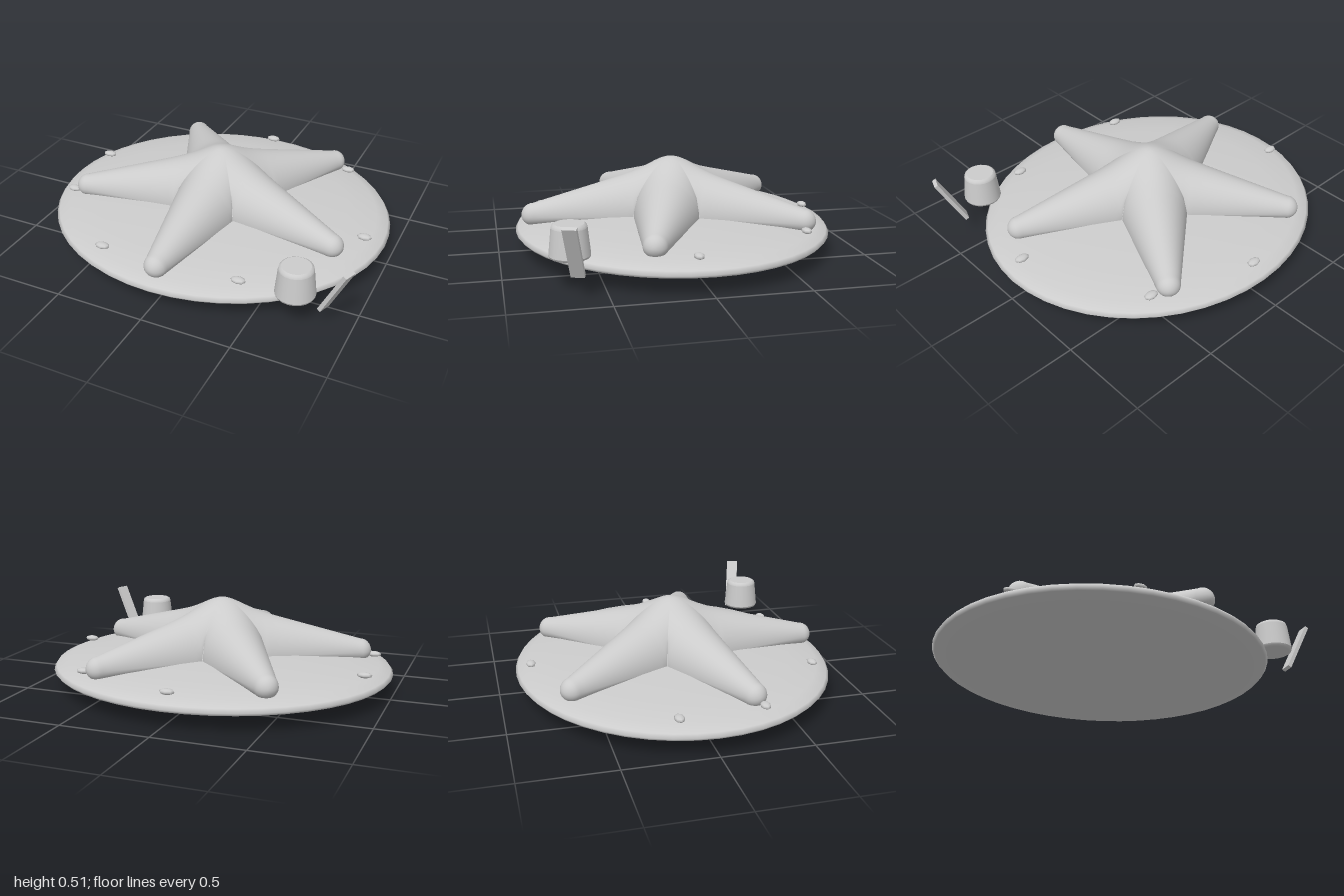
import * as THREE from 'three';
import { mergeVertices } from 'three/addons/utils/BufferGeometryUtils.js';

const material = new THREE.MeshStandardMaterial({ color: 0xcccccc, side: THREE.DoubleSide });
const CX = -0.01; // shared centre of the base and the star

function addMesh(parent, name, geometry, x = 0, y = 0, z = 0) {
  const mesh = new THREE.Mesh(geometry, material);
  mesh.name = name;
  mesh.position.set(x, y, z);
  parent.add(mesh);
  return mesh;
}

function lathe(points, segments) {
  return new THREE.LatheGeometry(points.map(([r, y]) => new THREE.Vector2(r, y)), segments);
}

// Five tapering arms with elliptical sections, meeting along valleys
function starGeometry() {
  const ARM = 0.8, CAP = 0.065, MID = 0.21, DEPTH = 0.06, ROWS = 28, CAPS = 7, COLS = 20;
  const ridge = u => 0.49 - 0.265 * Math.sqrt(u * u + 0.0025) + 0.04 * Math.exp(-((u / 0.15) ** 2));
  const width = u => 0.24 - 0.218 * u;
  const positions = [], indices = [];

  for (let arm = 0; arm < 5; arm++) {
    const a = arm * Math.PI * 2 / 5;
    for (const top of [true, false]) {
      const start = positions.length / 3;
      for (let i = 0; i <= ROWS + CAPS; i++) {
        // straight taper first, then the rounded tip
        const capAngle = Math.max(0, i - ROWS) / CAPS * Math.PI / 2;
        const base = Math.min(i / ROWS, 1) * ARM;
        const u = base + CAP * Math.sin(capAngle);
        const shrink = Math.cos(capAngle);
        const full = width(base) * shrink;
        const half = Math.min(full, u * Math.tan(Math.PI / 5));
        const height = (top ? ridge(base) - MID : -DEPTH) * shrink;
        for (let j = 0; j <= COLS; j++) {
          const v = -half * Math.cos(j / COLS * Math.PI);
          const k = full > 1e-6 ? v / full : 0;
          const y = MID + height * Math.sqrt(Math.max(0, 1 - k * k));
          positions.push(Math.sin(a) * u + Math.cos(a) * v, y, Math.cos(a) * u - Math.sin(a) * v);
          if (i > 0 && j > 0) {
            const d = start + i * (COLS + 1) + j, c = d - 1, b = d - COLS - 1, p = b - 1;
            if (top) indices.push(p, c, b, b, c, d);
            else indices.push(p, b, c, b, d, c);
          }
        }
      }
    }
  }
  const geometry = new THREE.BufferGeometry();
  geometry.setAttribute('position', new THREE.Float32BufferAttribute(positions, 3));
  geometry.setIndex(indices);
  const merged = mergeVertices(geometry, 1e-4);
  merged.computeVertexNormals();
  return merged;
}

export function createModel() {
  const model = new THREE.Group();
  model.name = 'starOnDisc';

  // Oval lens-shaped base
  const disc = addMesh(model, 'baseDisc', lathe([
    [0, 0.005], [0.35, 0.015], [0.7, 0.047], [0.9, 0.078], [0.985, 0.1], [1, 0.116],
    [0.985, 0.137], [0.92, 0.163], [0.75, 0.185], [0.45, 0.21], [0, 0.222],
  ], 48), CX);
  disc.scale.set(0.99, 1, 0.9);

  // Star
  addMesh(model, 'star', starGeometry(), CX);

  // Small flattened pebbles around the rim
  const pebbles = new THREE.Group();
  pebbles.name = 'pebbles';
  model.add(pebbles);
  const spots = [[-0.015, -0.815], [0.56, -0.625], [0.875, 0.055], [0.41, 0.705],
    [-0.38, 0.73], [-0.85, 0.28], [-0.885, -0.18]];
  for (const [x, z] of spots) {
    addMesh(pebbles, 'pebble', new THREE.SphereGeometry(1, 8, 6), x, 0.185, z)
      .scale.set(0.042, 0.016, 0.027);
  }

  // Upturned bucket with softened edges
  addMesh(model, 'bucket', lathe([
    [0, 0], [0.09, 0], [0.09, 0], [0.101, 0.004], [0.106, 0.015], [0.106, 0.015],
    [0.091, 0.155], [0.091, 0.155], [0.087, 0.168], [0.076, 0.175], [0.076, 0.175], [0, 0.175],
  ], 20), 0.707, 0.168, 0.67);

  // Leaning flat paddle
  const paddle = addMesh(model, 'paddle', new THREE.BoxGeometry(0.022, 0.31, 0.07), 0.915, 0.253, 0.672);
  paddle.rotation.set(0, -0.36, -0.48, 'YXZ');

  return model;
}
